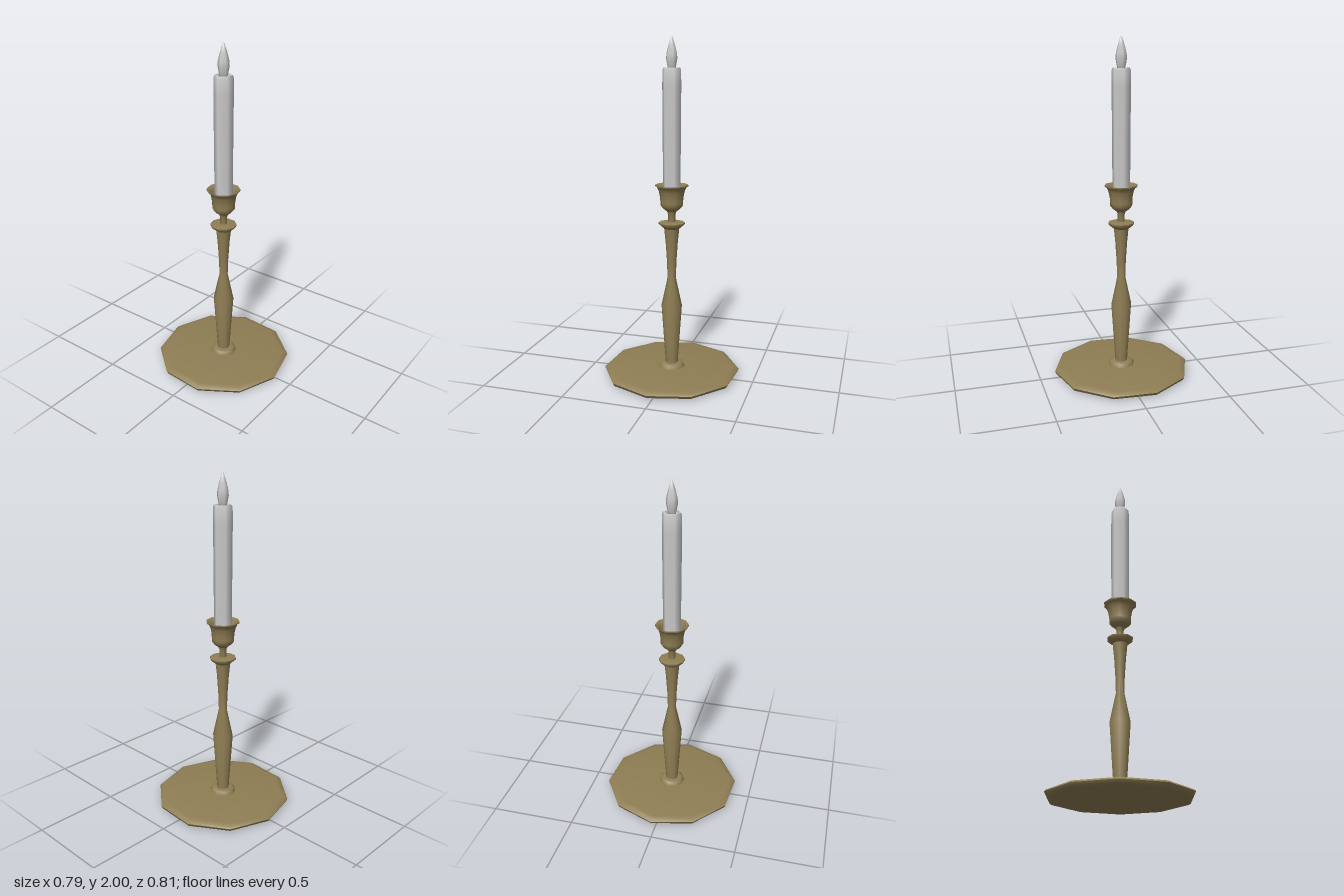
import * as THREE from 'three';
import { toCreasedNormals } from 'three/addons/utils/BufferGeometryUtils.js';

const brass = new THREE.MeshStandardMaterial({ color: 0x8f7e54 });
const grey = new THREE.MeshStandardMaterial({ color: 0xcccccc });

// Turned part from a profile of [radius, y] points, listed bottom to top
function turned(name, profile, sides, turn, material) {
  const points = profile.map(([r, y]) => new THREE.Vector2(r, y));
  const lathe = new THREE.LatheGeometry(points, sides, turn);
  const mesh = new THREE.Mesh(toCreasedNormals(lathe, 1.1), material);
  mesh.name = name;
  return mesh;
}

export function createModel() {
  const group = new THREE.Group();
  group.name = 'candlestick';
  const turn = -0.069;
  const hexTurn = Math.PI / 6;

  group.add(
    // Ten-sided plate with bevelled rim
    turned('base', [
      [0, 0], [0.38, 0.004], [0.4, 0.012], [0.408, 0.028], [0.398, 0.038],
      [0.37, 0.044], [0.08, 0.046], [0, 0.046],
    ], 10, turn, brass),
    // Low ring where the stem meets the plate
    turned('footRing', [
      [0.08, 0.04], [0.078, 0.05], [0.068, 0.066], [0.058, 0.07], [0, 0.07],
    ], 10, turn, brass),
    // Baluster stem
    turned('stem', [
      [0.036, 0.06], [0.061, 0.43], [0.025, 0.6], [0.028, 0.7],
      [0.036, 0.82], [0.045, 0.905],
    ], 10, turn, brass),
    // Collar and thin neck
    turned('collar', [
      [0.045, 0.9], [0.06, 0.912], [0.077, 0.927], [0.077, 0.936],
      [0.06, 0.94], [0.021, 0.941],
    ], 10, turn, brass),
    turned('neck', [[0.021, 0.935], [0.021, 0.985], [0.03, 1.005]], 10, turn, brass),
    // Hollow flared cup
    turned('cup', [
      [0, 1.0], [0.028, 1.002], [0.05, 1.018], [0.066, 1.038], [0.066, 1.055],
      [0.068, 1.085], [0.075, 1.12], [0.086, 1.145], [0.098, 1.152],
      [0.098, 1.158], [0.092, 1.158], [0.076, 1.135], [0.065, 1.1],
      [0.058, 1.06], [0, 1.05],
    ], 10, turn, brass),
    // Six-sided candle with a shallow hollow at the top
    turned('candle', [
      [0, 1.05], [0.053, 1.05], [0.053, 1.2], [0.056, 1.72], [0.055, 1.81],
      [0.05, 1.823], [0.041, 1.823], [0.036, 1.805], [0, 1.8],
    ], 6, hexTurn, grey),
    // Pointed flame
    turned('flame', [
      [0, 1.8], [0.019, 1.805], [0.026, 1.835], [0.033, 1.872],
      [0.031, 1.9], [0.021, 1.942], [0.009, 1.98], [0, 2],
    ], 6, hexTurn, grey),
  );
  return group;
}
